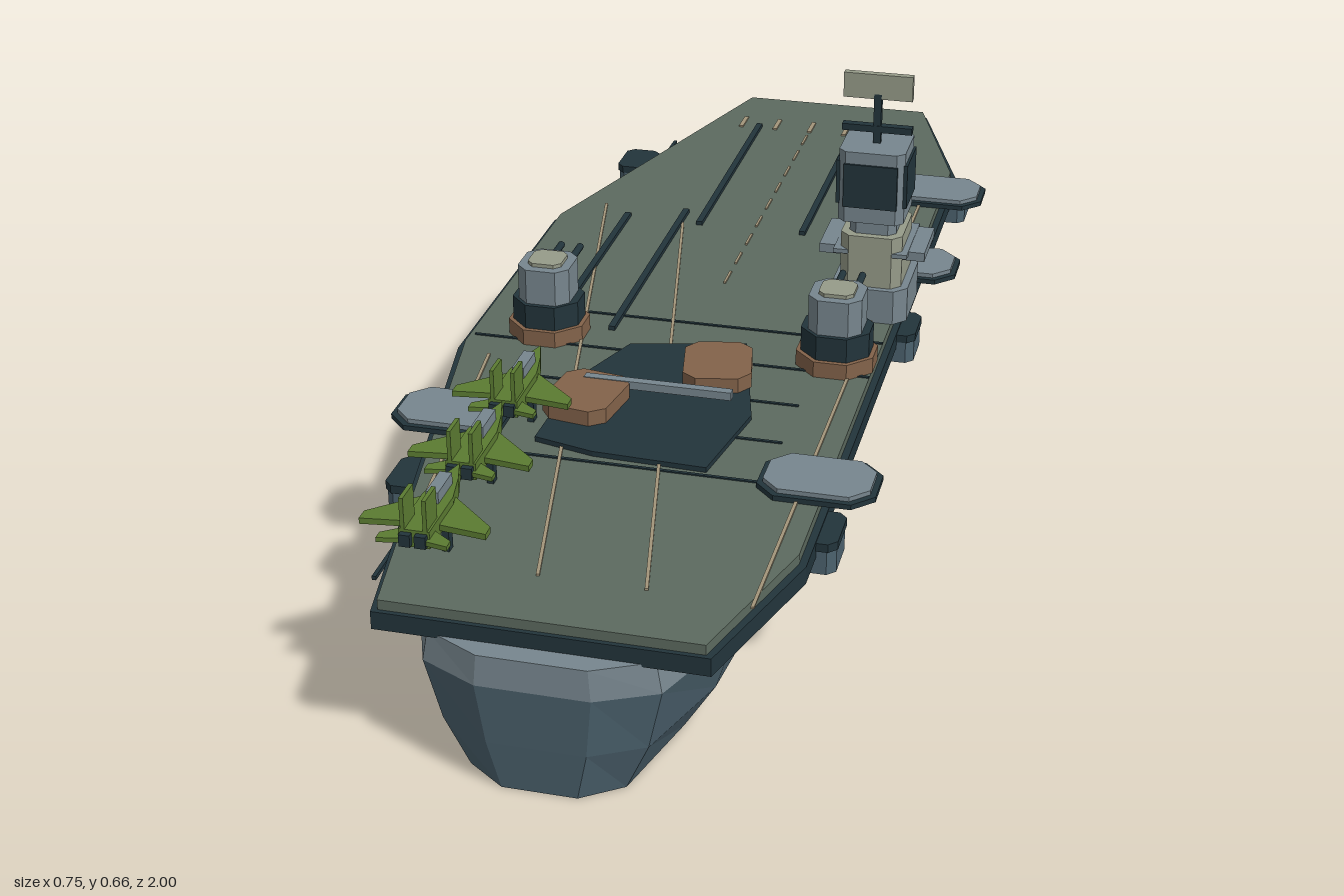
import * as THREE from 'three';

const mat = (name, color, extra = {}) => {
  const m = new THREE.MeshStandardMaterial({ color, ...extra });
  m.name = name;
  return m;
};

export function createModel() {
  const two = { side: THREE.DoubleSide };
  const M = {
    hull: mat('hull blue grey', 0x4c626e, two),
    grey: mat('light grey', 0x77868e, two),
    dark: mat('dark slate', 0x22343b),
    deck: mat('deck green', 0x5c6a5f),
    tan: mat('line tan', 0xa3957a),
    brown: mat('hatch brown', 0x83634a),
    jet: mat('jet green', 0x5b7b31),
    beige: mat('beige grey', 0x969b89),
  };
  const ship = new THREE.Group();
  ship.name = 'aircraftCarrier';

  const group = (name, x = 0, y = 0, z = 0, parent = ship) => {
    const g = new THREE.Group();
    g.name = name;
    g.position.set(x, y, z);
    parent.add(g);
    return g;
  };
  const add = (name, geo, m, parent = ship) => {
    const mesh = new THREE.Mesh(geo, m);
    mesh.name = name;
    parent.add(mesh);
    return mesh;
  };
  // box given by its limits on each axis
  const box = (name, m, [x0, x1], [y0, y1], [z0, z1], parent) => {
    const mesh = add(name, new THREE.BoxGeometry(x1 - x0, y1 - y0, z1 - z0), m, parent);
    mesh.position.set((x0 + x1) / 2, (y0 + y1) / 2, (z0 + z1) / 2);
    return mesh;
  };
  // upright prism over a plan outline of [x, z] points
  const slab = (name, m, pts, y0, y1, parent) => {
    const shape = new THREE.Shape(pts.map(([x, z]) => new THREE.Vector2(x, -z)));
    const geo = new THREE.ExtrudeGeometry(shape, { depth: y1 - y0, bevelEnabled: false });
    geo.rotateX(-Math.PI / 2).translate(0, y0, 0);
    return add(name, geo, m, parent);
  };
  // rectangle with cut corners
  const cut = (w, d, c, x = 0, z = 0) => {
    const a = w / 2, b = d / 2;
    return [[-a + c, -b], [a - c, -b], [a, -b + c], [a, b - c], [a - c, b], [-a + c, b], [-a, b - c], [-a, -b + c]]
      .map(([px, pz]) => [px + x, pz + z]);
  };
  // flat strip on the deck between two plan points
  const strip = (name, m, [x0, z0], [x1, z1], w, y0, y1) => {
    const mesh = add(name, new THREE.BoxGeometry(w, y1 - y0, Math.hypot(x1 - x0, z1 - z0)), m);
    mesh.position.set((x0 + x1) / 2, (y0 + y1) / 2, (z0 + z1) / 2);
    mesh.rotation.y = Math.atan2(x1 - x0, z1 - z0);
  };

  // hull: one plan outline lofted through four levels, open below
  const half = [[0.12, -0.97], [0.48, -0.8], [0.82, -0.5], [1, -0.1], [1, 0.5], [0.88, 0.8], [0.64, 0.955], [0.31, 0.995]];
  const outline = [[0, -1], ...half, ...half.map(([x, z]) => [-x, z]).reverse()];
  const ring = (w, s) => outline.map(([x, z]) => [x * w + 0.005, z * s]);
  const loft = (name, m, levels) => {
    const pos = [], n = outline.length;
    for (let l = 0; l + 1 < levels.length; l++) {
      const [ya, wa, sa] = levels[l], [yb, wb, sb] = levels[l + 1];
      const A = ring(wa, sa), B = ring(wb, sb);
      for (let i = 0; i < n; i++) {
        const j = (i + 1) % n;
        const a = [A[i][0], ya, A[i][1]], b = [A[j][0], ya, A[j][1]];
        const c = [B[j][0], yb, B[j][1]], d = [B[i][0], yb, B[i][1]];
        pos.push(...a, ...c, ...b, ...a, ...d, ...c);
      }
    }
    const geo = new THREE.BufferGeometry();
    geo.setAttribute('position', new THREE.Float32BufferAttribute(pos, 3));
    geo.computeVertexNormals();
    add(name, geo, m);
  };
  loft('lowerHull', M.hull, [[0, 0.17, 0.984], [0.075, 0.222, 0.992], [0.168, 0.255, 1]]);
  loft('upperHullBand', M.grey, [[0.168, 0.255, 1], [0.214, 0.243, 0.998]]);
  slab('hullCeiling', M.deck, ring(0.243, 0.997), 0.205, 0.209);
  slab('hullCap', M.grey, ring(0.243, 0.998), 0.209, 0.214);

  // flight deck: dark edge slab with a slightly smaller green top
  const plan = [[-0.155, -0.97], [0.205, -0.97], [0.308, -0.67], [0.308, 0.72], [0.235, 0.962], [-0.225, 0.962], [-0.366, 0.21], [-0.366, -0.31]];
  slab('deckEdge', M.dark, plan, 0.21, 0.237);
  slab('flightDeck', M.deck, plan.map(([x, z]) => [x * 0.965, z * 0.993]), 0.237, 0.252);

  // deck-edge lifts
  for (const [x, z] of [[0.287, -0.555], [0.287, -0.235], [0.287, 0.523], [-0.289, 0.453]]) {
    slab('liftRim', M.dark, cut(0.172, 0.122, 0.03, x, z), 0.252, 0.26);
    slab('liftPlatform', M.grey, cut(0.155, 0.105, 0.026, x, z), 0.26, 0.267);
  }

  // side sponsons
  for (const [x, z] of [[0.305, -0.63], [0.305, -0.05], [0.305, 0.61], [-0.297, -0.635], [-0.297, 0.6]]) {
    slab('sponson', M.hull, cut(0.06, 0.085, 0.012, x, z), 0.185, 0.222);
    slab('sponsonCap', M.dark, cut(0.064, 0.089, 0.012, x, z), 0.222, 0.235);
  }
  for (const z of [-0.67, 0.76]) box('sponsonGun', M.dark, [-0.263, -0.257], [0.217, 0.223], [z - 0.1, z + 0.1]);

  // catapult tracks, seams and painted lines
  for (const [x, a, b] of [[-0.1, -0.81, -0.32], [0.086, -0.81, -0.32], [-0.233, -0.33, 0.08], [-0.136, -0.37, 0.12]]) {
    strip('catapultTrack', M.dark, [x, a], [x, b], 0.011, 0.252, 0.259);
  }
  for (const [z, a, b] of [[0.065, -0.19, 0.297], [0.185, -0.345, 0.297], [0.302, -0.2, 0.21], [0.42, 0.13, 0.21], [0.54, -0.2, 0.297]]) {
    strip('deckSeam', M.dark, [a, z], [b, z], 0.005, 0.252, 0.254);
  }
  for (const x of [-0.135, -0.068, 0, 0.068, 0.135]) strip('bowMark', M.tan, [x, -0.85], [x, -0.8], 0.008, 0.252, 0.255);
  for (let z = -0.78; z < -0.12; z += 0.08) strip('centreDash', M.tan, [0, z], [0, z + 0.045], 0.004, 0.252, 0.255);
  for (const [p, q] of [[[-0.285, -0.37], [-0.03, 0.85]], [[-0.13, -0.32], [0.12, 0.85]], [[0.265, -0.62], [0.265, 0.86]], [[-0.3, 0.25], [-0.23, 0.82]]]) {
    strip('deckLine', M.tan, p, q, 0.005, 0.252, 0.255);
  }

  // open work area with hatches and a beam
  slab('workArea', M.dark, [[-0.09, 0.175], [0.09, 0.13], [0.15, 0.36], [0.122, 0.53], [-0.05, 0.523], [-0.145, 0.5], [-0.14, 0.31]], 0.252, 0.26);
  for (const [x, z, r] of [[0.07, 0.242, 0.2], [-0.1, 0.385, -0.15]]) {
    const hatch = group('hatch', x, 0, z);
    hatch.rotation.y = r;
    slab('hatchCover', M.brown, cut(0.105, 0.125, 0.02), 0.26, 0.284, hatch);
  }
  box('beam', M.grey, [-0.115, 0.115], [0.272, 0.285], [0.332, 0.346]);

  // twin-gun turrets
  for (const x of [-0.232, 0.238]) {
    const t = group('turret', x, 0, 0.145);
    slab('turretFoot', M.brown, cut(0.122, 0.115, 0.035), 0.252, 0.278, t);
    slab('turretBase', M.dark, cut(0.108, 0.1, 0.03), 0.278, 0.318, t);
    slab('turretCabin', M.grey, cut(0.084, 0.085, 0.018), 0.318, 0.376, t);
    slab('turretRoof', M.beige, cut(0.055, 0.055, 0.01), 0.376, 0.382, t);
    for (const s of [-1, 1]) {
      const barrel = add('gunBarrel', new THREE.CylinderGeometry(0.006, 0.006, 0.09, 8), M.dark, t);
      barrel.rotation.x = Math.PI / 2;
      barrel.position.set(s * 0.016, 0.348, -0.08);
    }
  }

  // island tower
  const tower = group('islandTower', 0.258, 0, -0.08);
  slab('towerBase', M.grey, cut(0.124, 0.145, 0.02), 0.252, 0.31, tower);
  slab('towerMiddle', M.beige, cut(0.1, 0.125, 0.015), 0.31, 0.398, tower);
  slab('towerShoulder', M.grey, cut(0.076, 0.1, 0.012), 0.398, 0.42, tower);
  for (const s of [-1, 1]) {
    box('towerWing', M.grey, s < 0 ? [-0.086, -0.04] : [0.04, 0.086], [0.356, 0.371], [-0.06, 0.045], tower);
  }
  box('towerGallery', M.grey, [-0.06, 0.06], [0.365, 0.372], [-0.07, 0.062], tower);
  const bridge = group('bridge', 0, 0, 0.024, tower);
  slab('bridgeNeck', M.dark, cut(0.06, 0.06, 0.01), 0.42, 0.428, bridge);
  slab('bridgeBlock', M.grey, cut(0.106, 0.106, 0.012), 0.428, 0.548, bridge);
  for (let i = 0; i < 4; i++) {
    const side = group('bridgeSide', 0, 0, 0, bridge);
    side.rotation.y = i * Math.PI / 2;
    box('bridgeWindow', M.dark, [-0.043, 0.043], [0.455, 0.528], [0.05, 0.057], side);
  }
  box('mast', M.dark, [-0.006, 0.006], [0.548, 0.63], [-0.006, 0.006], bridge);
  box('mastYard', M.dark, [-0.056, 0.056], [0.566, 0.577], [-0.007, 0.007], bridge);
  box('radarPanel', M.beige, [-0.055, 0.055], [0.622, 0.663], [-0.006, 0.006], bridge);

  // parked jets, noses towards the bow
  const wing = [[0.012, -0.035], [0.09, 0.035], [0.09, 0.055], [0.012, 0.045]];
  const tail = [[0.012, 0.055], [0.05, 0.082], [0.05, 0.097], [0.012, 0.09]];
  const body = [[0, -0.1], [0.012, -0.06], [0.022, -0.01], [0.022, 0.085], [-0.022, 0.085], [-0.022, -0.01], [-0.012, -0.06]];
  for (const z of [0.41, 0.598, 0.786]) {
    const jet = group('jet', -0.194, 0, z);
    slab('jetBody', M.jet, body, 0.285, 0.311, jet);
    box('jetCanopy', M.grey, [-0.009, 0.009], [0.311, 0.328], [-0.045, 0.012], jet);
    for (const s of [-1, 1]) {
      const flip = (pts) => pts.map(([x, pz]) => [s * x, pz]);
      slab('jetWing', M.jet, flip(wing), 0.291, 0.3, jet);
      slab('jetTailplane', M.jet, flip(tail), 0.293, 0.3, jet);
      box('jetFin', M.jet, [s * 0.016 - 0.003, s * 0.016 + 0.003], [0.305, 0.358], [0.045, 0.085], jet);
      box('jetNozzle', M.dark, [s * 0.011 - 0.008, s * 0.011 + 0.008], [0.289, 0.307], [0.084, 0.094], jet);
      box('jetWheel', M.dark, [s * 0.025 - 0.005, s * 0.025 + 0.005], [0.252, 0.287], [0.02, 0.035], jet);
    }
    box('jetNoseWheel', M.dark, [-0.004, 0.004], [0.252, 0.287], [-0.055, -0.043], jet);
  }

  return ship;
}
